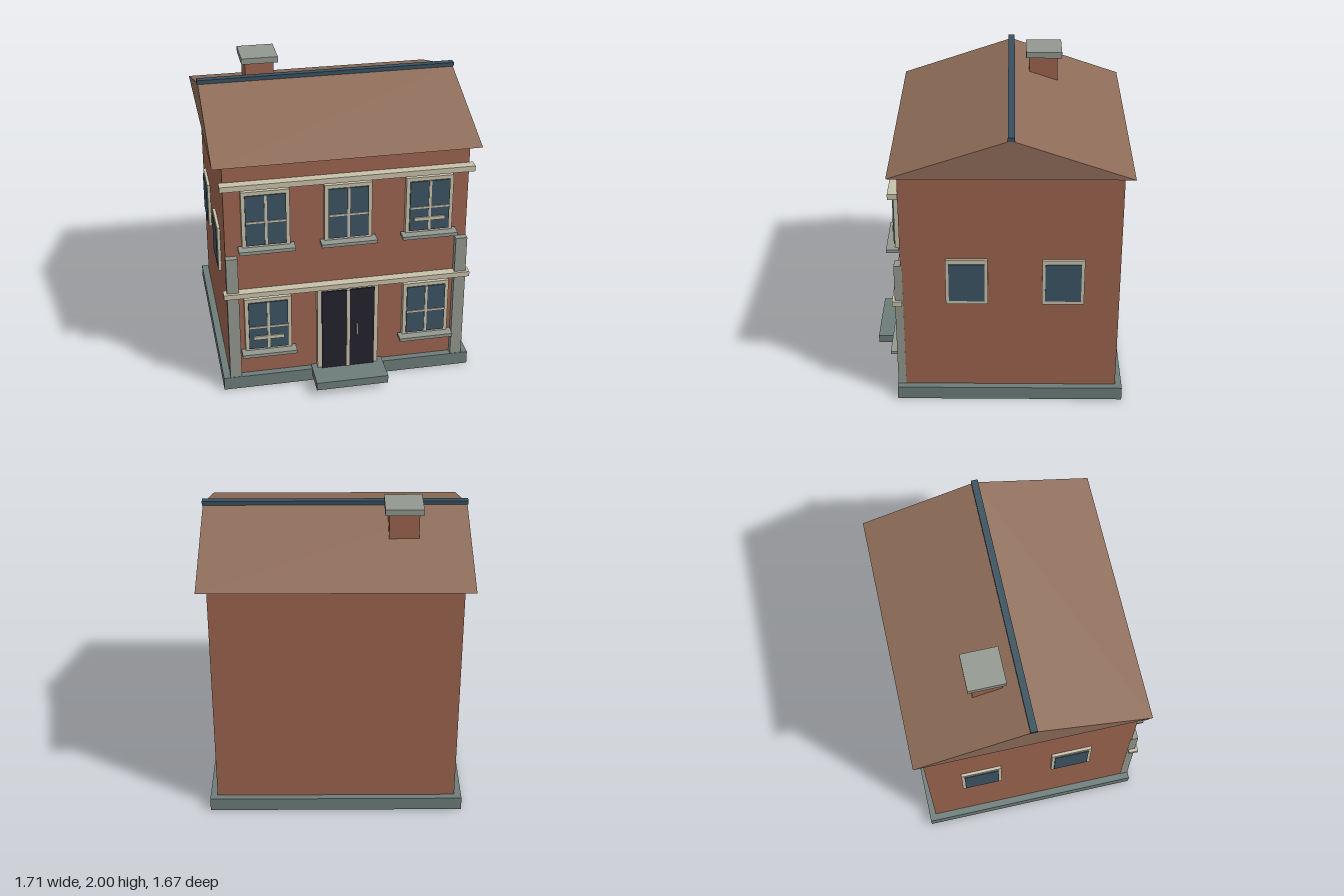
import * as THREE from 'three';

const mat = (name, color) => new THREE.MeshStandardMaterial({ name, color });

export function createModel() {
  const brick = mat('brick', 0x9c644f);
  const roofBrown = mat('roof brown', 0x8e6c58);
  const slate = mat('ridge blue', 0x38505f);
  const glass = mat('glass', 0x3c5463);
  const cream = mat('cream trim', 0xc8c0aa);
  const stone = mat('light stone', 0x92988f);
  const plinthGrey = mat('plinth grey', 0x6d7d7a);
  const doorDark = mat('door dark', 0x24222e);

  const house = new THREE.Group();
  house.name = 'house';

  // Box given by its minimum and maximum along each axis
  const box = (name, material, x0, x1, y0, y1, z0, z1, parent = house) => {
    const mesh = new THREE.Mesh(new THREE.BoxGeometry(x1 - x0, y1 - y0, z1 - z0), material);
    mesh.position.set((x0 + x1) / 2, (y0 + y1) / 2, (z0 + z1) / 2);
    mesh.name = name;
    parent.add(mesh);
    return mesh;
  };

  const group = (name) => {
    const g = new THREE.Group();
    g.name = name;
    house.add(g);
    return g;
  };

  // Body and plinth
  box('plinth', plinthGrey, -0.832, 0.832, 0, 0.09, -0.818, 0.66);
  box('walls', brick, -0.786, 0.786, 0.09, 1.625, -0.775, 0.615);
  box('doorStep', plinthGrey, -0.24, 0.24, 0.042, 0.097, 0.6, 0.838);

  // Gable roof: triangular section extruded along x
  const gable = new THREE.Shape([
    new THREE.Vector2(-0.675, 1.64),
    new THREE.Vector2(0.835, 1.64),
    new THREE.Vector2(0.08, 1.897),
  ]);
  const roofGeometry = new THREE.ExtrudeGeometry(gable, { depth: 1.7, bevelEnabled: false });
  roofGeometry.translate(0, 0, -0.85).rotateY(Math.PI / 2);
  const roof = new THREE.Mesh(roofGeometry, roofBrown);
  roof.name = 'roof';
  house.add(roof);
  box('ridge', slate, -0.855, 0.855, 1.893, 1.92, -0.104, -0.06);

  // Chimney
  box('chimneyStack', brick, -0.525, -0.335, 1.61, 1.962, -0.392, -0.202);
  box('chimneyCap', stone, -0.55, -0.308, 1.96, 2, -0.42, -0.18);

  // Horizontal bands and corner pilasters
  box('upperBand', cream, -0.81, 0.81, 1.478, 1.515, 0.612, 0.675);
  box('lowerBand', cream, -0.81, 0.81, 0.705, 0.74, 0.612, 0.675);
  for (const s of [-1, 1]) {
    const inner = s * 0.712, outer = s * 0.788;
    box('pilaster', stone, Math.min(inner, outer), Math.max(inner, outer), 0.09, 0.99, 0.605, 0.657);
  }

  // Front windows: frame, pane, glazing bars, sill and optional flat bar
  const frontWindow = (x, y, hasBar) => {
    const g = group('frontWindow');
    box('frame', cream, x - 0.153, x + 0.153, y - 0.198, y + 0.2, 0.61, 0.652, g);
    box('pane', glass, x - 0.129, x + 0.129, y - 0.175, y + 0.175, 0.64, 0.661, g);
    box('verticalBar', cream, x - 0.008, x + 0.008, y - 0.175, y + 0.175, 0.655, 0.667, g);
    box('crossBar', cream, x - 0.129, x + 0.129, y - 0.016, y - 0.004, 0.655, 0.666, g);
    box('sill', stone, x - 0.18, x + 0.18, y - 0.213, y - 0.19, 0.63, 0.708, g);
    if (hasBar) box('flatBar', cream, x - 0.1, x + 0.1, y - 0.103, y - 0.078, 0.658, 0.67, g);
  };
  for (const x of [-0.526, 0, 0.526]) frontWindow(x, 1.255, x > 0);
  for (const x of [-0.526, 0.526]) frontWindow(x, 0.477, x < 0);

  // Side windows on both walls
  for (const s of [-1, 1]) {
    for (const z of [0.197, -0.415]) {
      const g = group('sideWindow');
      const span = (a, b) => (s > 0 ? [a, b] : [-b, -a]);
      box('frame', cream, ...span(0.78, 0.805), 0.725, 1.047, z - 0.134, z + 0.134, g);
      box('pane', glass, ...span(0.79, 0.811), 0.75, 1.02, z - 0.114, z + 0.114, g);
    }
  }

  // Double front door
  const door = group('frontDoor');
  box('doorFrame', cream, -0.203, 0.203, 0.09, 0.705, 0.61, 0.661, door);
  for (const s of [-1, 1]) {
    box('doorLeaf', doorDark, s * 0.0925 - 0.0825, s * 0.0925 + 0.0825, 0.097, 0.69, 0.64, 0.672, door);
  }
  box('doorMullion', cream, -0.01, 0.01, 0.097, 0.69, 0.64, 0.679, door);
  box('doorHandle', stone, 0.053, 0.066, 0.347, 0.424, 0.67, 0.69, door);

  return house;
}
